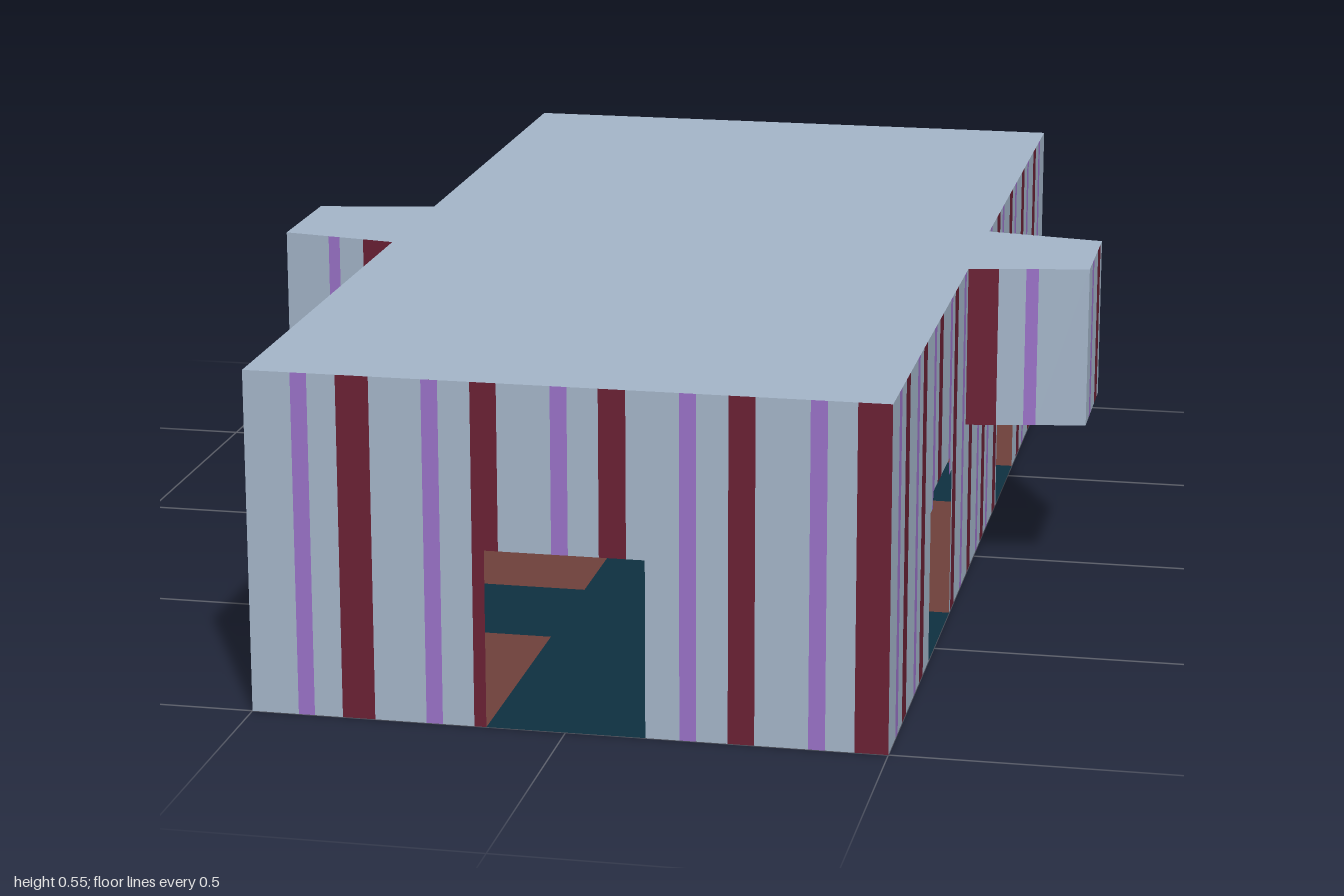
import * as THREE from 'three';
import { mergeGeometries } from 'three/addons/utils/BufferGeometryUtils.js';

const H = 0.55;      // wall height
const BAY_Y = 0.278; // underside of the side bays

function material(name, color) {
  const m = new THREE.MeshStandardMaterial({ color, side: THREE.DoubleSide });
  m.name = name;
  return m;
}

export function createModel() {
  const canvas = material('blueGrey', 0xa4b5c9);
  const purple = material('purple', 0x9a72c8);
  const red = material('darkRed', 0x6a2034);
  const brown = material('brownFloor', 0x6e403b);
  const teal = material('tealPath', 0x0e3040);

  const model = new THREE.Group();
  model.name = 'stripedHall';

  // Flat horizontal polygon from plan points [x, z]
  function slab(name, points, y, mat, up) {
    const shape = new THREE.Shape(points.map(([x, z]) => new THREE.Vector2(x, up ? -z : z)));
    const mesh = new THREE.Mesh(new THREE.ShapeGeometry(shape), mat);
    mesh.name = name;
    mesh.rotation.x = up ? -Math.PI / 2 : Math.PI / 2;
    mesh.position.y = y;
    return mesh;
  }

  // Striped wall from plan point a to b, seen left to right from outside.
  // stripes: [from, to, material]; gaps: [from, to, bottom of wall above the gap]
  function wall(name, a, b, stripes, gaps = [], base = 0) {
    const dx = b[0] - a[0], dz = b[1] - a[1], length = Math.hypot(dx, dz);
    const cuts = [0, length, ...[...stripes, ...gaps].flatMap(s => [s[0], s[1]])]
      .map(u => Math.min(u, length)).sort((p, q) => p - q);
    const pieces = new Map();
    for (let i = 1; i < cuts.length; i++) {
      const u0 = cuts[i - 1], u1 = cuts[i], mid = (u0 + u1) / 2;
      if (u1 - u0 < 1e-4) continue;
      const inside = s => mid > s[0] && mid < s[1];
      const stripe = stripes.find(inside), gap = gaps.find(inside);
      const mat = stripe ? stripe[2] : canvas, bottom = gap ? gap[2] : base;
      if (bottom >= H) continue;
      const g = new THREE.PlaneGeometry(u1 - u0, H - bottom).translate(mid, (H + bottom) / 2, 0);
      if (!pieces.has(mat)) pieces.set(mat, []);
      pieces.get(mat).push(g);
    }
    const group = new THREE.Group();
    group.name = name;
    for (const [mat, list] of pieces) {
      const mesh = new THREE.Mesh(mergeGeometries(list), mat);
      mesh.name = mat === canvas ? 'wallPanels' : mat.name + 'Stripes';
      group.add(mesh);
    }
    group.position.set(a[0], 0, a[1]);
    group.rotation.y = Math.atan2(-dz, dx);
    return group;
  }

  // Stripes given by their centres
  const bands = (centres, width, mat) => centres.map(c => [c - width / 2, c + width / 2, mat]);

  const endStripes = [
    ...bands([0.088, 0.293, 0.493, 0.691, 0.89], 0.026, purple),
    [0.146, 0.198, red], [0.356, 0.397, red], [0.554, 0.596, red],
    [0.753, 0.794, red], [0.948, 1, red],
  ];
  const sideStripes = [
    ...bands([0.084, 0.277, 0.464, 0.655, 0.826, 1.035, 1.174, 1.348, 1.538, 1.728, 1.916], 0.025, purple),
    ...bands([0.162, 0.349, 0.534, 0.719, 0.928, 1.11, 1.281, 1.466, 1.651, 1.838], 0.042, red),
  ];

  // Side doorways with small stepped upper corners
  const door = u => [[u, u + 0.027, 0.25], [u + 0.027, u + 0.218, BAY_Y], [u + 0.218, u + 0.25, 0.25]];
  const sideGaps = [...door(0.435), ...door(1.315)];

  // One half holds an end wall, a side wall and a bay; the other is turned half round
  for (const turn of [0, Math.PI]) {
    const half = new THREE.Group();
    half.name = turn ? 'backLeftHalf' : 'frontRightHalf';
    half.rotation.y = turn;

    half.add(
      wall('endWall', [-0.5, 1], [0.5, 1], endStripes, [[0.375, 0.625, 0.285]]),
      wall('sideWall', [0.5, 1], [0.5, -1], sideStripes, sideGaps),
      // Tapered bay
      wall('bayFrontCheek', [0.5, 0.14], [0.7, 0.105],
        [[0, 0.051, red], [0.097, 0.118, purple]], [], BAY_Y),
      wall('bayOuterWall', [0.7, 0.105], [0.7, -0.105],
        [[0.052, 0.078, purple], [0.142, 0.185, red]], [], BAY_Y),
      wall('bayBackCheek', [0.7, -0.105], [0.5, -0.14],
        [[0.081, 0.102, purple], [0.147, 0.204, red]], [], BAY_Y),
      slab('bayUnderside', [[0.5, -0.14], [0.7, -0.105], [0.7, 0.105], [0.5, 0.14]], BAY_Y, canvas, false),
    );
    model.add(half);
  }

  // Flat roof covering the hall and both bays
  const edge = [[0.5, 1], [0.5, 0.14], [0.7, 0.105], [0.7, -0.105], [0.5, -0.14], [0.5, -1]];
  model.add(slab('roof', [...edge, ...edge.map(([x, z]) => [-x, -z])], H, canvas, true));

  // Floor: brown rooms divided by teal paths joining the doorways
  const xs = [-0.5, -0.125, 0.125, 0.5];
  const zs = [-1, -0.565, -0.315, 0.315, 0.565, 1];
  for (let i = 0; i < 3; i++) {
    for (let j = 0; j < 5; j++) {
      const room = i !== 1 && j % 2 === 0;
      model.add(slab(room ? 'roomFloor' : 'pathFloor', [
        [xs[i], zs[j + 1]], [xs[i + 1], zs[j + 1]], [xs[i + 1], zs[j]], [xs[i], zs[j]],
      ], 0, room ? brown : teal, true));
    }
  }
  return model;
}
